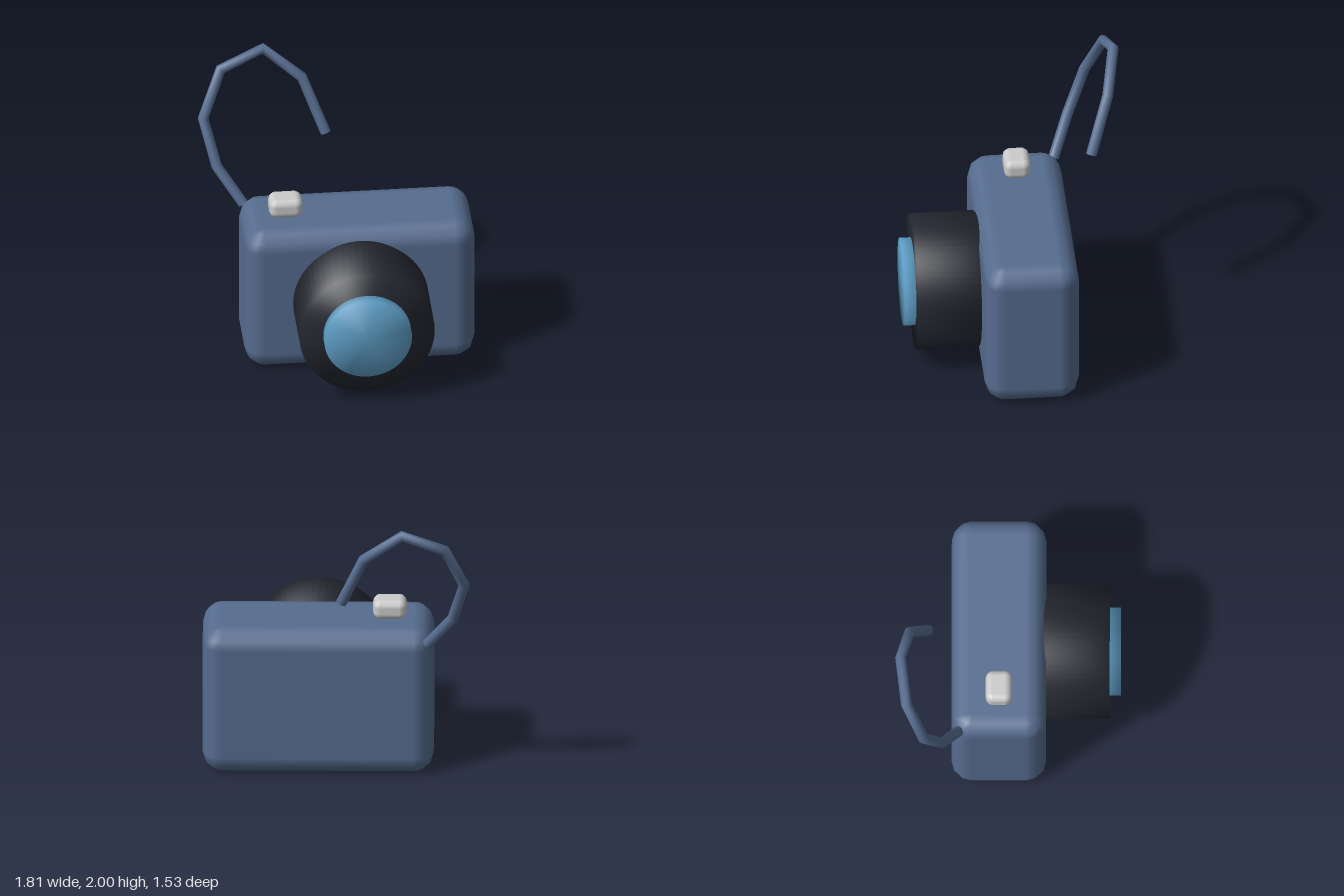
import * as THREE from 'three';
import { mergeVertices } from 'three/addons/utils/BufferGeometryUtils.js';

const BLUE = 0x566c8f, BLACK = 0x23262f, GLASS = 0x5fa0c8, GREY = 0xcccccc;

function part(name, geometry, color, x = 0, y = 0, z = 0) {
  const mesh = new THREE.Mesh(geometry, new THREE.MeshStandardMaterial({ color }));
  mesh.name = name;
  mesh.position.set(x, y, z);
  return mesh;
}

// Box with rounded edges of three facets: a sheet wrapped round a sphere
// whose eight octants are pushed out to the corners of the box.
function bevelBox(w, h, d, r) {
  const geo = new THREE.PlaneGeometry(1, 1, 16, 9);
  const pos = geo.attributes.position, nor = geo.attributes.normal;
  const n = new THREE.Vector3();
  for (let k = 0; k < pos.count; k++) {
    const i = (k % 17) % 16, row = Math.floor(k / 17);
    const quarter = Math.floor(i / 4);
    const a = (quarter * 3 + (i % 4)) * Math.PI / 6;
    const mid = (quarter + 0.5) * Math.PI / 2;
    const pole = row === 0 || row === 9;
    const top = row < 5;
    const t = pole ? (top ? 0 : Math.PI) : (top ? row - 1 : row - 2) * Math.PI / 6;
    n.set(Math.sin(t) * Math.sin(a), Math.cos(t), Math.sin(t) * Math.cos(a));
    const out = pole ? 0 : 1;
    pos.setXYZ(k,
      out * (Math.sign(Math.sin(mid)) * (w / 2 - r) + n.x * r),
      (top ? 1 : -1) * (h / 2 - r) + n.y * r,
      out * (Math.sign(Math.cos(mid)) * (d / 2 - r) + n.z * r));
    nor.setXYZ(k, n.x, n.y, n.z);
  }
  return geo;
}

// Cylinder along z with normals blended over its rims
function softDisc(radius, depth) {
  const geo = new THREE.CylinderGeometry(radius, radius, depth, 64).rotateX(Math.PI / 2);
  geo.deleteAttribute('uv');
  geo.deleteAttribute('normal');
  const merged = mergeVertices(geo);
  merged.computeVertexNormals();
  return merged;
}

// Straight segments with mitred joints
class Polyline extends THREE.Curve {
  constructor(points) {
    super();
    this.points = points;
  }
  getPoint(t, target = new THREE.Vector3()) {
    const s = t * (this.points.length - 1);
    const i = Math.min(Math.floor(s), this.points.length - 2);
    return target.lerpVectors(this.points[i], this.points[i + 1], s - i);
  }
  getPointAt(t, target) {
    return this.getPoint(t, target);
  }
  getTangentAt(t, target = new THREE.Vector3()) {
    const p = this.points, i = Math.round(t * (p.length - 1));
    target.set(0, 0, 0);
    if (i > 0) target.add(p[i].clone().sub(p[i - 1]).normalize());
    if (i < p.length - 1) target.add(p[i + 1].clone().sub(p[i]).normalize());
    return target.normalize();
  }
}

function createStrap() {
  const strap = new THREE.Group();
  strap.name = 'strap';
  const radius = 0.037, sides = 12;
  const path = [
    [-0.62, 0.98, -0.335], [-0.79, 1.22, -0.445], [-0.87, 1.53, -0.57], [-0.74, 1.84, -0.685],
    [-0.45, 1.965, -0.725], [-0.19, 1.76, -0.665], [-0.04, 1.385, -0.54],
  ].map(p => new THREE.Vector3(...p));
  const curve = new Polyline(path);
  strap.add(part('strapCord', new THREE.TubeGeometry(curve, path.length - 1, radius, sides), BLUE));
  // End caps
  for (const t of [0, 1]) {
    const p = curve.getPoint(t);
    const cap = part('strapEnd', new THREE.CircleGeometry(radius, sides), BLUE, p.x, p.y, p.z);
    const dir = curve.getTangentAt(t).multiplyScalar(t ? 1 : -1);
    cap.quaternion.setFromUnitVectors(new THREE.Vector3(0, 0, 1), dir);
    strap.add(cap);
  }
  return strap;
}

export function createModel() {
  const camera = new THREE.Group();
  camera.name = 'toyCamera';
  camera.add(
    part('body', bevelBox(1.565, 1.065, 0.64, 0.135), BLUE, 0.1225, 0.5325, -0.06),
    part('lensBarrel', softDisc(0.46, 0.49), BLACK, 0.12, 0.535, 0.445),
    part('lensGlass', softDisc(0.298, 0.15), GLASS, 0.12, 0.535, 0.69),
    part('shutterButton', bevelBox(0.228, 0.14, 0.18, 0.05), GREY, -0.362, 1.13, -0.06),
    createStrap(),
  );
  return camera;
}
